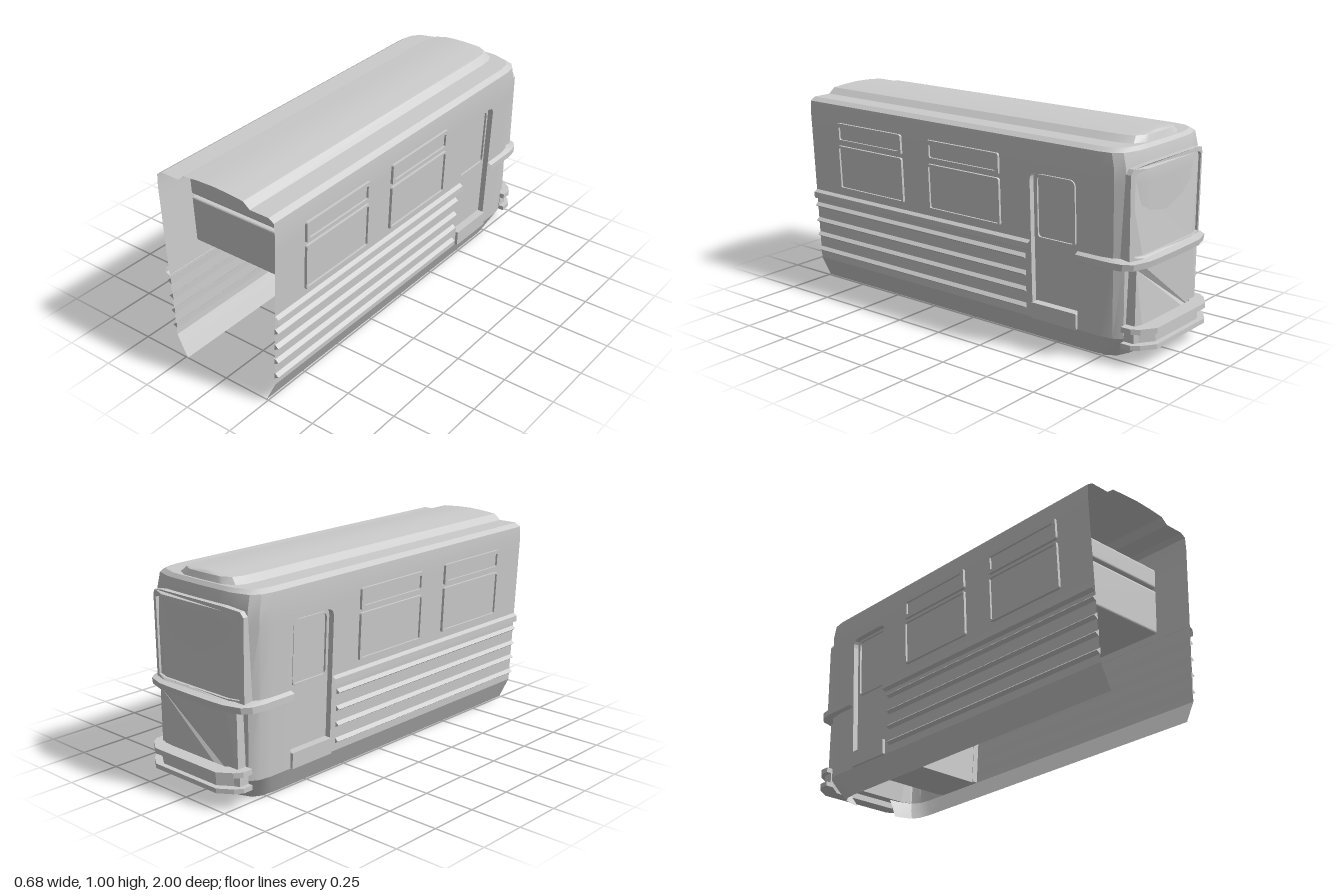
import * as THREE from 'three';
import { toCreasedNormals } from 'three/addons/utils/BufferGeometryUtils.js';

const material = new THREE.MeshStandardMaterial({ color: 0xcccccc, side: THREE.DoubleSide });

// Half width of the leaning side wall at height y
const wallX = (y) => 0.295 + 0.045 * (y - 0.11);

function addMesh(parent, name, geometry) {
  const mesh = new THREE.Mesh(geometry, material);
  mesh.name = name;
  parent.add(mesh);
  return mesh;
}

// Plan outline: along the left side, round the rear, back along the right side
function outline(w, b) {
  const half = [
    [w, 1], [w, -0.39], [w, -0.65], [w, b + 0.13], [w * 0.97, b + 0.07],
    [w * 0.88, b + 0.03], [w * 0.62, b + 0.005], [Math.min(0.135, w * 0.5), b + 0.002],
  ];
  return [...half, [0, b], ...half.map(([x, z]) => [-x, z]).reverse()];
}

// Loft of levels [y, half width, rear z]; skip(column, y) leaves openings
function loft(levels, skip) {
  const positions = [];
  const rows = levels.map(([y, w, b]) => outline(w, b).map(([x, z]) => [x, y, z]));
  for (let i = 0; i < rows.length - 1; i++) {
    for (let j = 0; j < rows[i].length - 1; j++) {
      if (skip(j, levels[i][0])) continue;
      const [a, b, c, d] = [rows[i][j], rows[i][j + 1], rows[i + 1][j + 1], rows[i + 1][j]];
      positions.push(...a, ...b, ...c, ...a, ...c, ...d);
    }
  }
  const geometry = new THREE.BufferGeometry();
  geometry.setAttribute('position', new THREE.Float32BufferAttribute(positions, 3));
  return toCreasedNormals(geometry, 0.45);
}

// Rounded rectangle in the side plane (u = -z, v = y)
function sideRect(z0, z1, y0, y1, r = 0.012, rBottom = r, Type = THREE.Shape) {
  const [l, h] = [-z1, -z0];
  const s = new Type();
  s.moveTo(l + rBottom, y0);
  s.lineTo(h - rBottom, y0);
  s.quadraticCurveTo(h, y0, h, y0 + rBottom);
  s.lineTo(h, y1 - r);
  s.quadraticCurveTo(h, y1, h - r, y1);
  s.lineTo(l + r, y1);
  s.quadraticCurveTo(l, y1, l, y1 - r);
  s.lineTo(l, y0 + rBottom);
  s.quadraticCurveTo(l, y0, l + rBottom, y0);
  return s;
}

// Extrude a side shape and place it by toX(t, y), t running 0..1 through its depth
function sideExtrude(shape, toX) {
  const geometry = new THREE.ExtrudeGeometry(shape, { depth: 1, bevelEnabled: false, curveSegments: 4 });
  const p = geometry.attributes.position;
  for (let i = 0; i < p.count; i++) {
    const [u, y, t] = [p.getX(i), p.getY(i), p.getZ(i)];
    p.setXYZ(i, toX(t, y), y, -u);
  }
  geometry.computeVertexNormals();
  return geometry;
}

// Part reaching through the car from wall to wall
const spanning = (shape, offset) => sideExtrude(shape, (t, y) => (2 * t - 1) * (wallX(y) + offset));

// Part lying on each side wall between two offsets
function onBothWalls(parent, name, shape, from, to) {
  const geometry = sideExtrude(shape, (t, y) => wallX(y) + from + t * (to - from));
  addMesh(parent, name, geometry);
  addMesh(parent, name, geometry).scale.x = -1;
}

// Extrude a rear outline between two depths, bent forward at the sides
function rearExtrude(points, hole, zBack, depth) {
  const mirror = (pts) => [...pts, ...pts.map(([x, y]) => [-x, y]).reverse()].map(([x, y]) => new THREE.Vector2(x, y));
  const shape = new THREE.Shape(mirror(points));
  if (hole) shape.holes.push(new THREE.Path(mirror(hole)));
  const geometry = new THREE.ExtrudeGeometry(shape, { depth, bevelEnabled: false });
  const p = geometry.attributes.position;
  for (let i = 0; i < p.count; i++) {
    p.setZ(i, p.getZ(i) + zBack + 0.3 * Math.max(0, Math.abs(p.getX(i)) - 0.2));
  }
  geometry.computeVertexNormals();
  return geometry;
}

// Horizontal plate of the bumper, outer edge pulled in by inset
function bumperPlate(y0, y1, inset) {
  const half = [[0.29 - inset, -0.87], [0.29 - inset, -0.92], [0.265 - inset, -0.955 + inset], [0.2 - inset, -1 + inset]];
  const inner = [[0.18, -0.93], [0.25, -0.87]];
  const ring = [...half, ...half.map(([x, z]) => [-x, z]).reverse(),
    ...inner.map(([x, z]) => [-x, z]).reverse(), ...inner];
  const shape = new THREE.Shape(ring.map(([x, z]) => new THREE.Vector2(x, -z)));
  return new THREE.ExtrudeGeometry(shape, { depth: y1 - y0, bevelEnabled: false })
    .rotateX(-Math.PI / 2).translate(0, y0, 0);
}

export function createModel() {
  const car = new THREE.Group();
  car.name = 'railCar';
  const doorColumn = (j) => j === 1 || j === 14;

  // Shell: walls, rounded rear and stepped roof, with a doorway in each side
  addMesh(car, 'bodyShell', loft([
    [0.11, 0.295, -0.895], [0.48, wallX(0.48), -0.9], [0.805, wallX(0.805), -0.905],
    [0.88, 0.33, -0.905], [0.945, 0.327, -0.89], [0.962, 0.3, -0.875],
    [0.962, 0.2, -0.865], [0.99, 0.165, -0.855], [0.997, 0.08, -0.845], [1, 0, -0.84],
  ], (j, y) => doorColumn(j) && y < 0.8));

  // Tapered skirt, open in the middle of the rear
  addMesh(car, 'skirt', loft([[0, 0.24, -0.83], [0.06, 0.27, -0.87], [0.11, 0.295, -0.895]],
    (j) => j === 7 || j === 8));

  // Belt moulding round the car, broken at the doors
  addMesh(car, 'beltMoulding', loft([
    [0.43, 0.308, -0.9], [0.44, 0.33, -0.955], [0.47, 0.33, -0.96], [0.482, 0.311, -0.9],
  ], doorColumn));

  // Ribs along the lower sides
  for (const y of [0.4, 0.318, 0.24, 0.16]) {
    const shape = new THREE.Shape([
      new THREE.Vector2(wallX(y) - 0.004, y - 0.016),
      new THREE.Vector2(wallX(y) + 0.018, y - 0.002),
      new THREE.Vector2(wallX(y) - 0.004, y + 0.016),
    ]);
    const geometry = new THREE.ExtrudeGeometry(shape, { depth: 1.36, bevelEnabled: false }).translate(0, 0, -0.36);
    addMesh(car, 'sideRib', geometry);
    addMesh(car, 'sideRib', geometry).scale.x = -1;
  }

  // Windows: upper vent and lower pane, each a block through the car with raised frames
  for (const z of [0.375, -0.225]) {
    const window = new THREE.Group();
    window.name = 'window';
    for (const [y0, y1, rim] of [[0.757, 0.858, 0.018], [0.517, 0.742, 0.01]]) {
      addMesh(window, 'windowPane', spanning(sideRect(z, z + 0.435, y0, y1), 0.003));
      const frame = sideRect(z, z + 0.435, y0, y1);
      frame.holes.push(sideRect(z + rim, z + 0.435 - rim, y0 + rim, y1 - rim, 0.008, 0.008, THREE.Path));
      onBothWalls(window, 'windowFrame', frame, -0.005, 0.013);
    }
    car.add(window);
  }

  // Doors: recessed block, rounded opening, window frame and step
  const door = new THREE.Group();
  door.name = 'doors';
  addMesh(door, 'doorPanel', spanning(sideRect(-0.648, -0.392, 0.105, 0.8, 0.03, 0.001), -0.028));
  const opening = sideRect(-0.65, -0.39, 0.11, 0.805, 0.001, 0.001);
  opening.holes.push(sideRect(-0.646, -0.394, 0.114, 0.801, 0.04, 0.001, THREE.Path));
  onBothWalls(door, 'doorFrame', opening, -0.03, 0);
  const doorWindow = sideRect(-0.625, -0.412, 0.49, 0.79, 0.03, 0.02);
  doorWindow.holes.push(sideRect(-0.617, -0.42, 0.498, 0.782, 0.024, 0.016, THREE.Path));
  onBothWalls(door, 'doorWindowFrame', doorWindow, -0.03, -0.018);
  onBothWalls(door, 'doorStep', sideRect(-0.645, -0.395, 0.11, 0.187, 0.006), -0.03, 0.013);
  car.add(door);

  // Rear end: upper panel with raised rim, lower panel below the belt
  const upper = [[0.2, 0.475], [0.285, 0.475], [0.29, 0.855], [0.275, 0.878], [0.2, 0.892]];
  const upperHole = [[0.2, 0.49], [0.262, 0.49], [0.266, 0.845], [0.255, 0.86], [0.2, 0.872]];
  addMesh(car, 'rearPanel', rearExtrude(upper, null, -0.915, 0.05));
  addMesh(car, 'rearPanelRim', rearExtrude(upper, upperHole, -0.927, 0.04));
  addMesh(car, 'rearLowerPanel', rearExtrude([[0.2, 0.11], [0.25, 0.11], [0.25, 0.435], [0.2, 0.435]], null, -0.93, 0.05));

  // Bumper: two plates with a recessed web between them
  addMesh(car, 'bumperTop', bumperPlate(0.152, 0.177, 0));
  addMesh(car, 'bumperBottom', bumperPlate(0.08, 0.102, 0));
  addMesh(car, 'bumperWeb', bumperPlate(0.102, 0.152, 0.025));

  return car;
}
